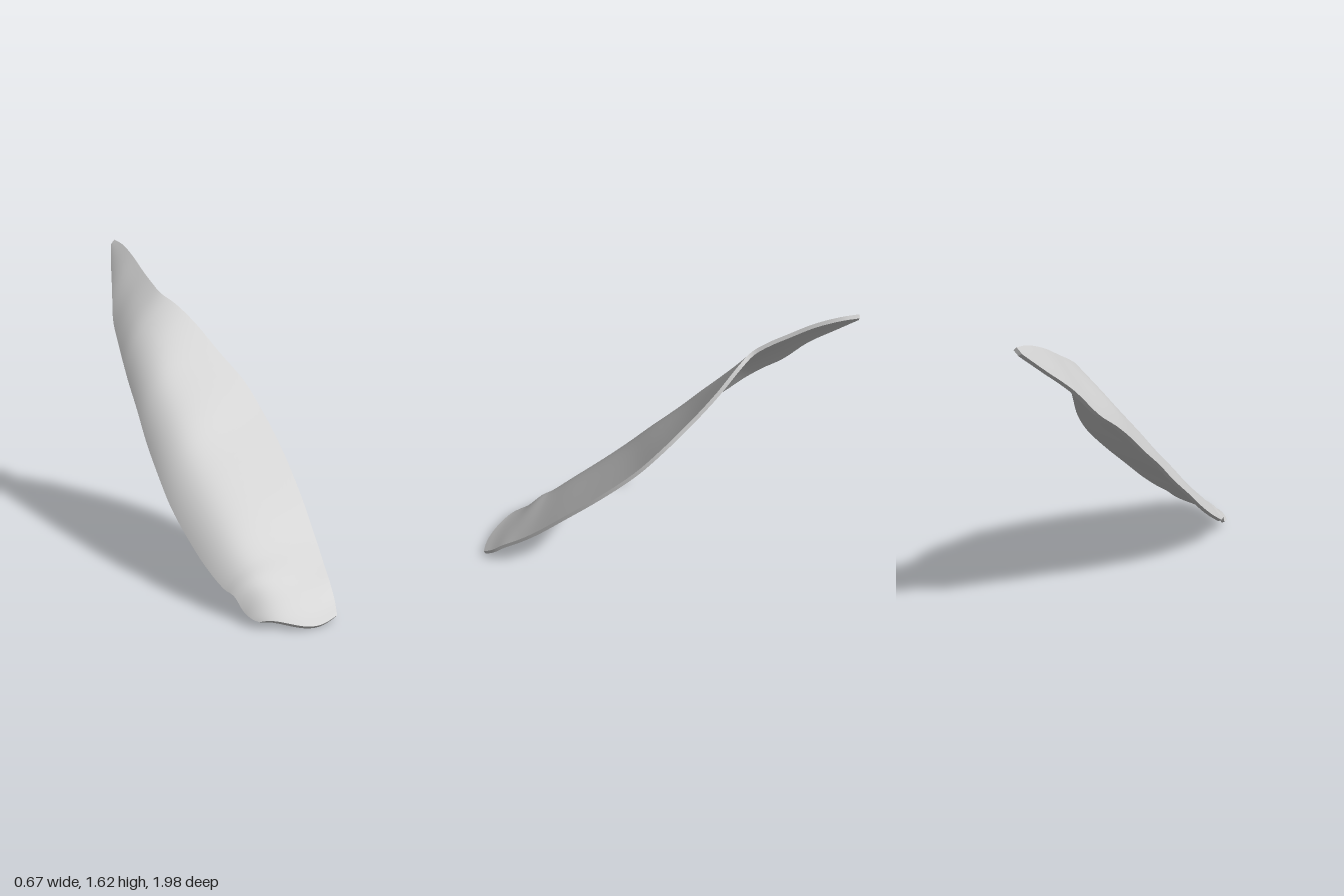
import * as THREE from 'three';

// Stations from the tip to the blunt lower end: low edge xyz, high edge xyz
const STATIONS = [
  [[0.088, 1.595, -0.988], [0.112, 1.62, -0.988]],
  [[0.03, 1.505, -0.9], [0.112, 1.605, -0.9]],
  [[-0.045, 1.385, -0.78], [0.098, 1.56, -0.78]],
  [[-0.115, 1.24, -0.67], [0.086, 1.5, -0.67]],
  [[-0.155, 1.155, -0.57], [0.08, 1.44, -0.56]],
  [[-0.185, 1.07, -0.48], [0.086, 1.395, -0.49]],
  [[-0.21, 0.975, -0.39], [0.135, 1.34, -0.42]],
  [[-0.245, 0.84, -0.25], [0.2, 1.235, -0.32]],
  [[-0.275, 0.71, -0.13], [0.255, 1.1, -0.19]],
  [[-0.305, 0.57, 0.02], [0.315, 0.95, -0.03]],
  [[-0.325, 0.44, 0.16], [0.33, 0.82, 0.1]],
  [[-0.33, 0.33, 0.3], [0.317, 0.65, 0.29]],
  [[-0.328, 0.22, 0.46], [0.275, 0.47, 0.49]],
  [[-0.312, 0.145, 0.59], [0.225, 0.31, 0.66]],
  [[-0.3, 0.13, 0.65], [0.185, 0.215, 0.77]],
  [[-0.288, 0.07, 0.71], [0.15, 0.145, 0.86]],
  [[-0.282, 0.05, 0.77], [0.12, 0.08, 0.93]],
  [[-0.265, 0.045, 0.81], [0.085, 0.035, 0.985]],
];
const ROWS = 68, COLS = 28, PITCH = 0.78, THICKNESS = 0.02;
const { lerp, smoothstep } = THREE.MathUtils;

const edgeCurve = (side) =>
  new THREE.CatmullRomCurve3(STATIONS.map((s) => new THREE.Vector3(...s[side])));

// Open sheet: each section turns down sharply at the low edge and slopes gently up to the high edge
function sheetGeometry() {
  const low = edgeCurve(0), high = edgeCurve(1);
  const pos = [], index = [];
  for (let i = 0; i <= ROWS; i++) {
    const u = i / ROWS;
    const a = low.getPoint(u), b = high.getPoint(u);
    const roll = b.y - a.y + PITCH * (b.z - a.z);
    const lip = lerp(0.15, 0.45, smoothstep(u, 0.1, 0.55));
    const power = lerp(3, 7, smoothstep(u, 0.1, 0.55));
    const bulge = smoothstep(u, 0.78, 1);
    for (let j = 0; j <= COLS; j++) {
      const t = Math.pow(j / COLS, 1.4); // finer columns near the low edge
      const p = a.clone().lerp(b, t);
      const bow = bulge * Math.sin(Math.PI * t);
      p.y += roll * lip * (1 - Math.pow(1 - t, power) - t) - 0.045 * bow;
      p.z += 0.06 * bow;
      pos.push(p.x, p.y, p.z);
      if (i < ROWS && j < COLS) {
        const k = i * (COLS + 1) + j, n = k + COLS + 1;
        index.push(k, n, k + 1, k + 1, n, n + 1);
      }
    }
  }
  const g = new THREE.BufferGeometry();
  g.setAttribute('position', new THREE.Float32BufferAttribute(pos, 3));
  g.setIndex(index);
  g.computeVertexNormals();
  return g;
}

// Copy of the sheet moved along its normals
function offsetSheet(sheet, distance, flip) {
  const g = sheet.clone(), p = g.attributes.position, n = sheet.attributes.normal;
  for (let i = 0; i < p.count; i++) {
    p.setXYZ(i, p.getX(i) + n.getX(i) * distance, p.getY(i) + n.getY(i) * distance,
      p.getZ(i) + n.getZ(i) * distance);
  }
  if (flip) g.setIndex([...g.index.array].reverse());
  g.computeVertexNormals();
  return g;
}

// Narrow band joining the upper and lower faces all round
function rimGeometry(upper, lower) {
  const w = COLS + 1, loop = [];
  for (let i = 0; i < ROWS; i++) loop.push(i * w);
  for (let j = 0; j < COLS; j++) loop.push(ROWS * w + j);
  for (let i = ROWS; i > 0; i--) loop.push(i * w + COLS);
  for (let j = COLS; j > 0; j--) loop.push(j);
  const pos = [], index = [], v = new THREE.Vector3();
  loop.forEach((k, i) => {
    for (const g of [upper, lower]) pos.push(...v.fromBufferAttribute(g.attributes.position, k));
    const a = 2 * i, b = 2 * ((i + 1) % loop.length);
    index.push(a, a + 1, b, b, a + 1, b + 1);
  });
  const g = new THREE.BufferGeometry();
  g.setAttribute('position', new THREE.Float32BufferAttribute(pos, 3));
  g.setIndex(index);
  g.computeVertexNormals();
  return g;
}

export function createModel() {
  const group = new THREE.Group();
  group.name = 'curvedBlade';
  const grey = new THREE.MeshStandardMaterial({ color: 0xcccccc, side: THREE.DoubleSide });
  grey.name = 'light grey';

  const sheet = sheetGeometry();
  const upper = offsetSheet(sheet, THICKNESS / 2, false);
  const lower = offsetSheet(sheet, -THICKNESS / 2, true);
  const parts = { upperFace: upper, lowerFace: lower, rim: rimGeometry(upper, lower) };
  for (const [name, geometry] of Object.entries(parts)) {
    const mesh = new THREE.Mesh(geometry, grey);
    mesh.name = name;
    group.add(mesh);
  }

  // Stand the lowest point on the ground
  const box = new THREE.Box3().setFromObject(group);
  group.children.forEach((m) => m.geometry.translate(0, -box.min.y, 0));
  return group;
}
